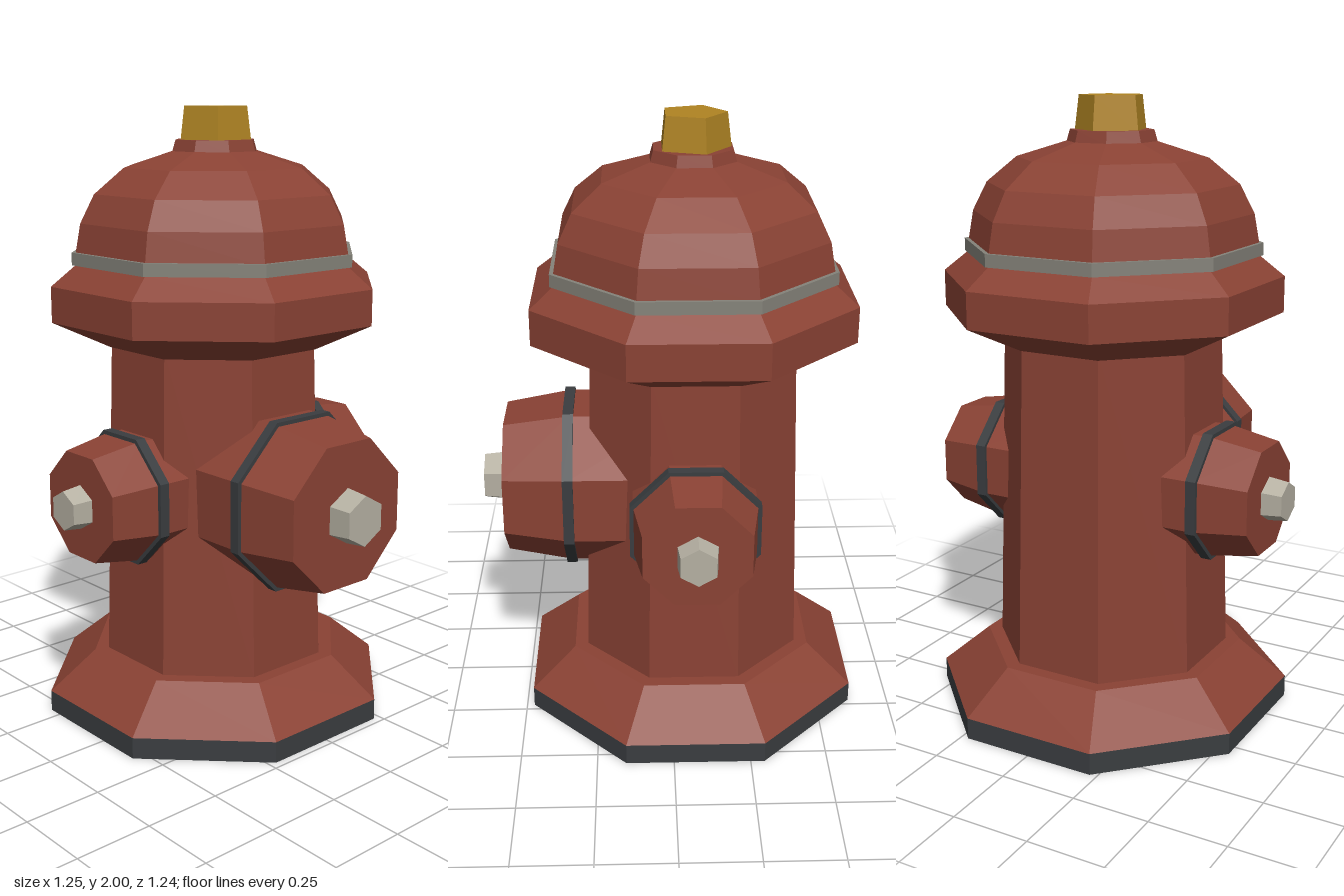
import * as THREE from 'three';

const paint = (color) => new THREE.MeshStandardMaterial({ color, flatShading: true });
const RED = paint(0x8a4234), RUBBER = paint(0x3a3d40), STEEL = paint(0xb5b0a2),
  BAND = paint(0x85837a), BRASS = paint(0xb08423);
const AXIS_Z = -0.07;

// Faceted turned part; profile is [half width across flats, height], bottom to top
function turned(name, profile, material, sides = 8, start = Math.PI / sides) {
  const k = 1 / Math.cos(Math.PI / sides);
  const points = profile.map(([w, y]) => new THREE.Vector2(w * k, y));
  const mesh = new THREE.Mesh(new THREE.LatheGeometry(points, sides, start), material);
  mesh.name = name;
  return mesh;
}

// Outlet pointing along +z: barrel, seal ring and hexagonal bolt
function outlet(name, { width, tip, ring, end, boltWidth, boltEnd }) {
  const group = new THREE.Group();
  group.name = name;
  group.add(
    turned('barrel', [[width, 0.05], [width, ring], [tip, end], [0, end]], RED),
    turned('sealRing', [[width - 0.02, ring - 0.017], [width + 0.01, ring - 0.017],
      [width + 0.01, ring + 0.017], [width - 0.02, ring + 0.017]], RUBBER),
    turned('bolt', [[boltWidth, end - 0.01], [boltWidth - 0.008, boltEnd], [0, boltEnd]], STEEL, 6, 0),
  );
  group.children.forEach((part) => { part.rotation.x = Math.PI / 2; });
  group.position.y = 0.78;
  return group;
}

export function createModel() {
  const hydrant = new THREE.Group();
  hydrant.name = 'fireHydrant';

  // Foot and column
  hydrant.add(
    turned('footUnderside', [[0, 0], [0.545, 0]], RED),
    turned('footRim', [[0.545, 0], [0.545, 0.07]], RUBBER),
    turned('foot', [[0.545, 0.07], [0.4, 0.2], [0.34, 0.2]], RED),
    turned('column', [[0.357, 0.195], [0.326, 1.26]], RED),
  );

  // Cap: collar, band, dome and neck
  hydrant.add(
    turned('collar', [[0.3, 1.24], [0.33, 1.24], [0.505, 1.33], [0.505, 1.445], [0.43, 1.51]], RED),
    turned('band', [[0.42, 1.51], [0.441, 1.51], [0.441, 1.55], [0.42, 1.55]], BAND),
    turned('dome', [[0.43, 1.54], [0.413, 1.64], [0.37, 1.73], [0.28, 1.81], [0.13, 1.86]], RED),
    turned('neck', [[0.133, 1.855], [0.122, 1.895], [0, 1.895]], RED),
    turned('topNut', [[0.096, 1.89], [0.085, 2], [0, 2]], BRASS, 5, Math.PI),
  );

  // Large front outlet and a smaller one on each side
  hydrant.add(outlet('frontOutlet',
    { width: 0.265, tip: 0.23, ring: 0.403, end: 0.615, boltWidth: 0.078, boltEnd: 0.69 }));
  for (const side of [-1, 1]) {
    const part = outlet(side > 0 ? 'leftOutlet' : 'rightOutlet',
      { width: 0.196, tip: 0.168, ring: 0.387, end: 0.56, boltWidth: 0.063, boltEnd: 0.625 });
    part.rotation.y = side * Math.PI / 2;
    hydrant.add(part);
  }

  hydrant.children.forEach((part) => { part.position.z = AXIS_Z; });
  const model = new THREE.Group();
  model.add(hydrant);
  return model;
}
